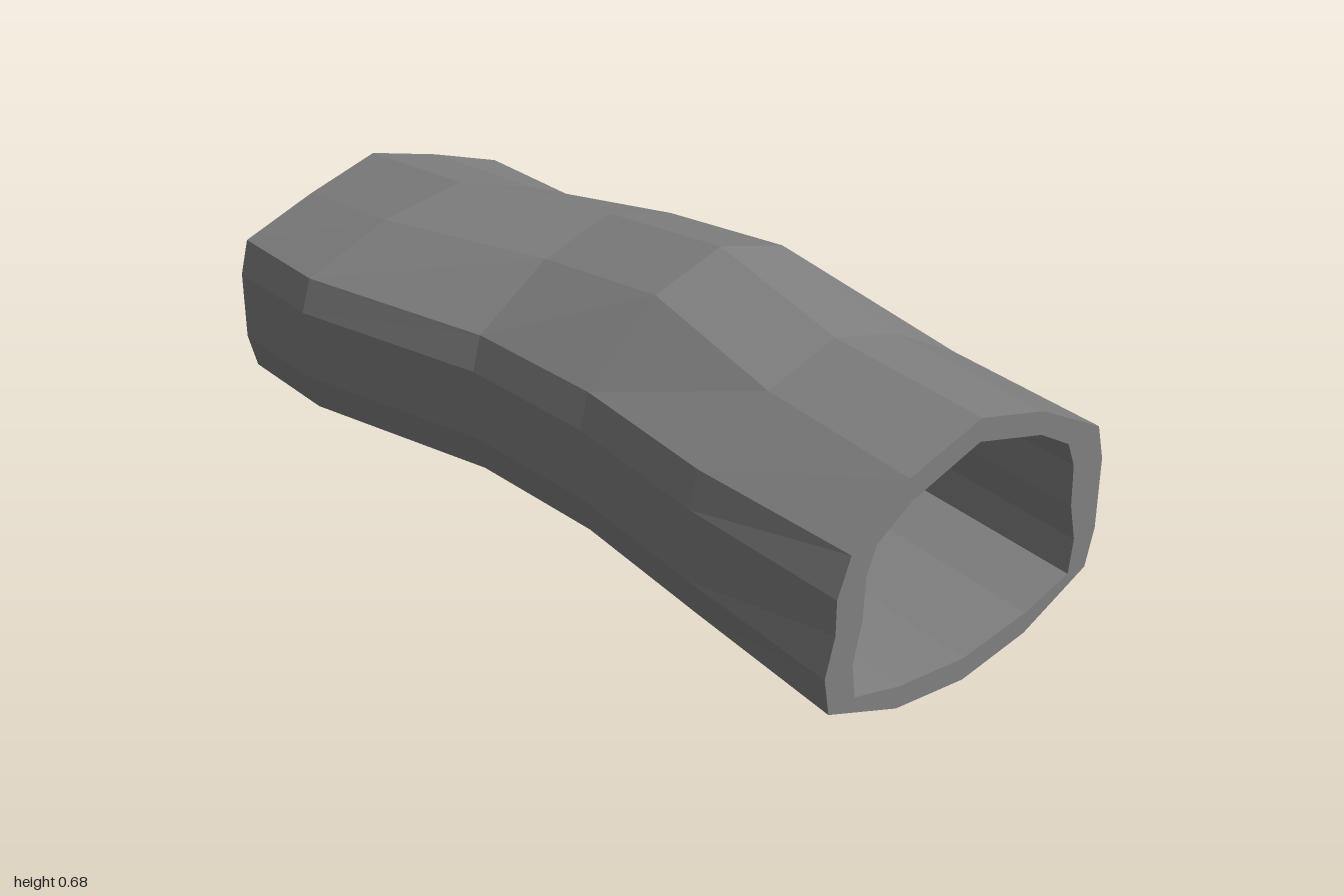
import * as THREE from 'three';

// Stations along the pipe: x, sideways offset c, crown height top, slant of the ring
const STATIONS = [
  { x: -1, c: 0.04, top: 0.58 },
  { x: -0.62, c: 0.055, top: 0.62, slant: -0.23 },
  { x: -0.2, c: -0.055, top: 0.64, dented: true },
  { x: 0.17, c: -0.055, top: 0.678 },
  { x: 0.57, c: 0, top: 0.62 },
  { x: 1, c: 0.04, top: 0.617, worn: true },
];

// Half sections from floor to crown as [sideways distance, height]
const outerHalf = (top) => [
  [0, 0], [0.195, 0.03], [0.39, 0.112], [0.413, 0.2], [0.413, 0.29],
  [0.413, 0.37], [0.39, 0.455], [0.195, top - 0.056], [0, top],
];
const innerHalf = (top) => [
  [0, 0.057], [0.195, 0.08], [0.332, 0.118], [0.342, 0.2], [0.32, 0.29],
  [0.315, 0.39], [0.29, 0.45], [0.195, top - 0.11], [0, top - 0.053],
];
// Worn front side at the right end, and the dented lining near the middle
const WORN_FRONT = [
  [0, 0.003], [0.205, 0.03], [0.405, 0.112], [0.42, 0.2], [0.395, 0.29],
  [0.395, 0.37], [0.36, 0.455], [0.205, 0.561], [0, 0.617],
];
const DENTED_FRONT = [
  [0.03, 0.087], [0.185, 0.09], [0.265, 0.13], [0.3, 0.2], [0.345, 0.29],
  [0.345, 0.39], [0.305, 0.42], [0.165, 0.45], [0.035, 0.505],
];

// Joins a front half and a mirrored back half into one closed ring
function ring(station, front, back) {
  const flat = [...front, ...back.slice(1, -1).reverse().map(([d, y]) => [-d, y])];
  return flat.map(([d, y]) => [station.x + (station.slant || 0) * d, y, station.c + d]);
}

// Bridges neighbouring rings with quads
function loft(rings, flip) {
  const pos = [];
  for (let s = 0; s < rings.length - 1; s++) {
    const p = rings[s], q = rings[s + 1], n = p.length;
    for (let i = 0; i < n; i++) {
      const j = (i + 1) % n;
      const tris = flip
        ? [p[i], p[j], q[j], p[i], q[j], q[i]]
        : [p[i], q[j], p[j], p[i], q[i], q[j]];
      tris.forEach((v) => pos.push(...v));
    }
  }
  const g = new THREE.BufferGeometry();
  g.setAttribute('position', new THREE.Float32BufferAttribute(pos, 3));
  g.computeVertexNormals();
  return g;
}

export function createModel() {
  const group = new THREE.Group();
  group.name = 'bentPipe';
  const grey = new THREE.MeshStandardMaterial({ color: 0x808080, flatShading: true });
  grey.name = 'grey';

  const outer = STATIONS.map((s) => {
    const half = outerHalf(s.top);
    return ring(s, s.worn ? WORN_FRONT : half, half);
  });
  const inner = STATIONS.map((s) => {
    const half = innerHalf(s.top);
    return ring(s, s.dented ? DENTED_FRONT : half, half);
  });

  const add = (name, geometry) => {
    const mesh = new THREE.Mesh(geometry, grey);
    mesh.name = name;
    group.add(mesh);
  };
  const last = STATIONS.length - 1;
  add('outerWall', loft(outer, false));
  add('innerWall', loft(inner, true));
  // Flat rims closing the wall thickness at both ends
  add('rightRim', loft([outer[last], inner[last]], false));
  add('leftRim', loft([outer[0], inner[0]], true));
  return group;
}
